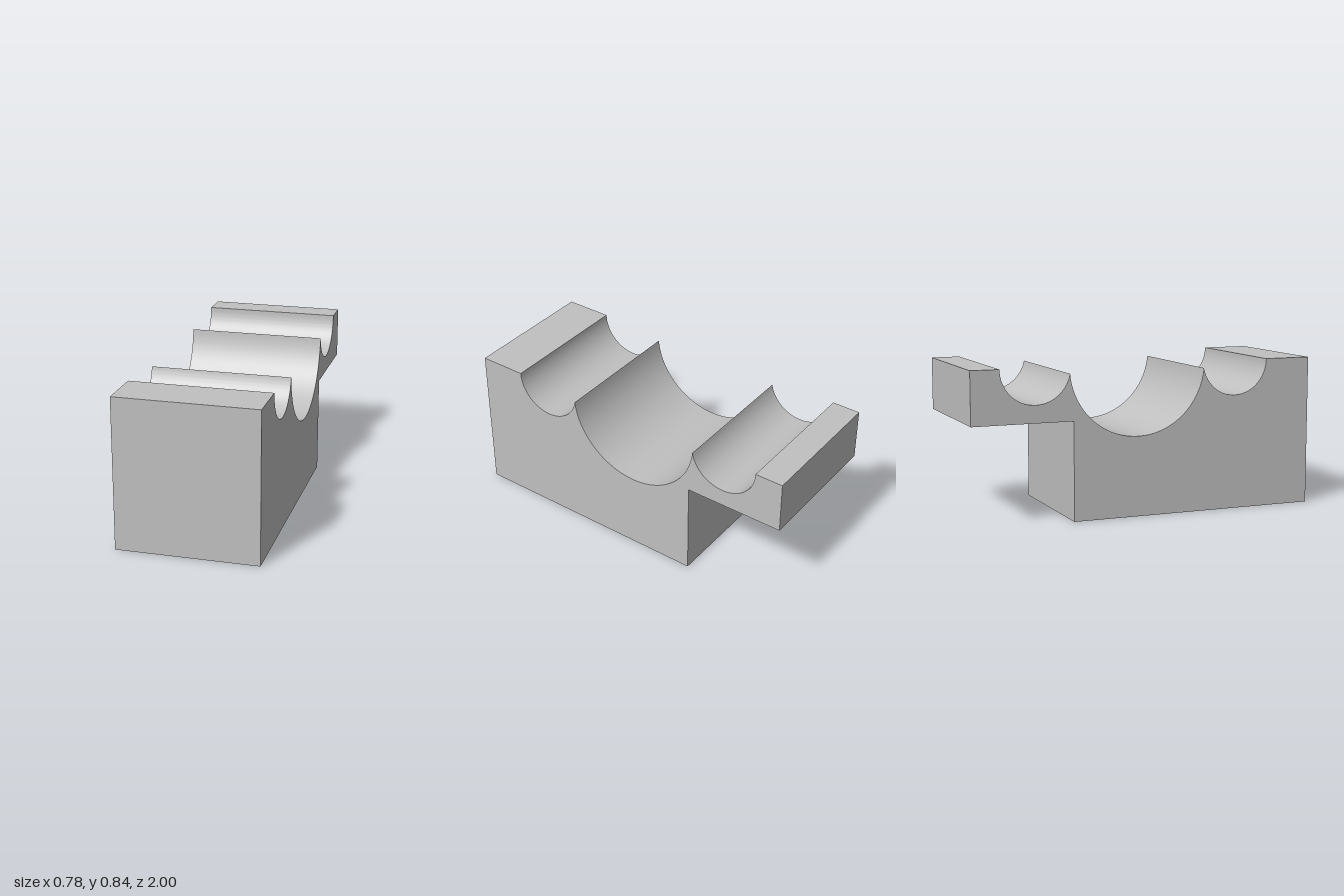
import * as THREE from 'three';
import { toCreasedNormals } from 'three/addons/utils/BufferGeometryUtils.js';

export function createModel() {
  const group = new THREE.Group();
  group.name = 'cradleBlock';
  const grey = new THREE.MeshStandardMaterial({ color: 0xc0c0c0 });
  grey.name = 'plain grey';

  const width = 0.784, top = 0.843;
  const smallR = 0.197, largeR = 0.3965, middle = 0.056, spacing = 0.5875;
  // grooves overlap slightly, so they meet in a cusp just below the top
  const cuspDrop = 0.038;
  const smallTilt = Math.asin(cuspDrop / smallR);
  const largeTilt = Math.asin(cuspDrop / largeR);

  // side profile: shape x runs towards the back
  const profile = new THREE.Shape();
  profile.moveTo(-1, 0);
  profile.lineTo(0.43, 0);
  profile.lineTo(0.43, 0.549); // underside of the rear overhang
  profile.lineTo(1, 0.549);
  profile.lineTo(1, top);
  // rear, middle and front grooves
  profile.absarc(middle + spacing, top, smallR, 0, -Math.PI + smallTilt, true);
  profile.absarc(middle, top, largeR, -largeTilt, -Math.PI + largeTilt, true);
  profile.absarc(middle - spacing, top, smallR, -smallTilt, -Math.PI, true);
  profile.lineTo(-1, top);
  profile.closePath();

  const geometry = new THREE.ExtrudeGeometry(profile, {
    depth: width, bevelEnabled: false, curveSegments: 40,
  });
  geometry.translate(0, 0, -width / 2);
  geometry.rotateY(Math.PI / 2);

  const block = new THREE.Mesh(toCreasedNormals(geometry, Math.PI / 6), grey);
  block.name = 'groovedBlock';
  group.add(block);
  return group;
}
